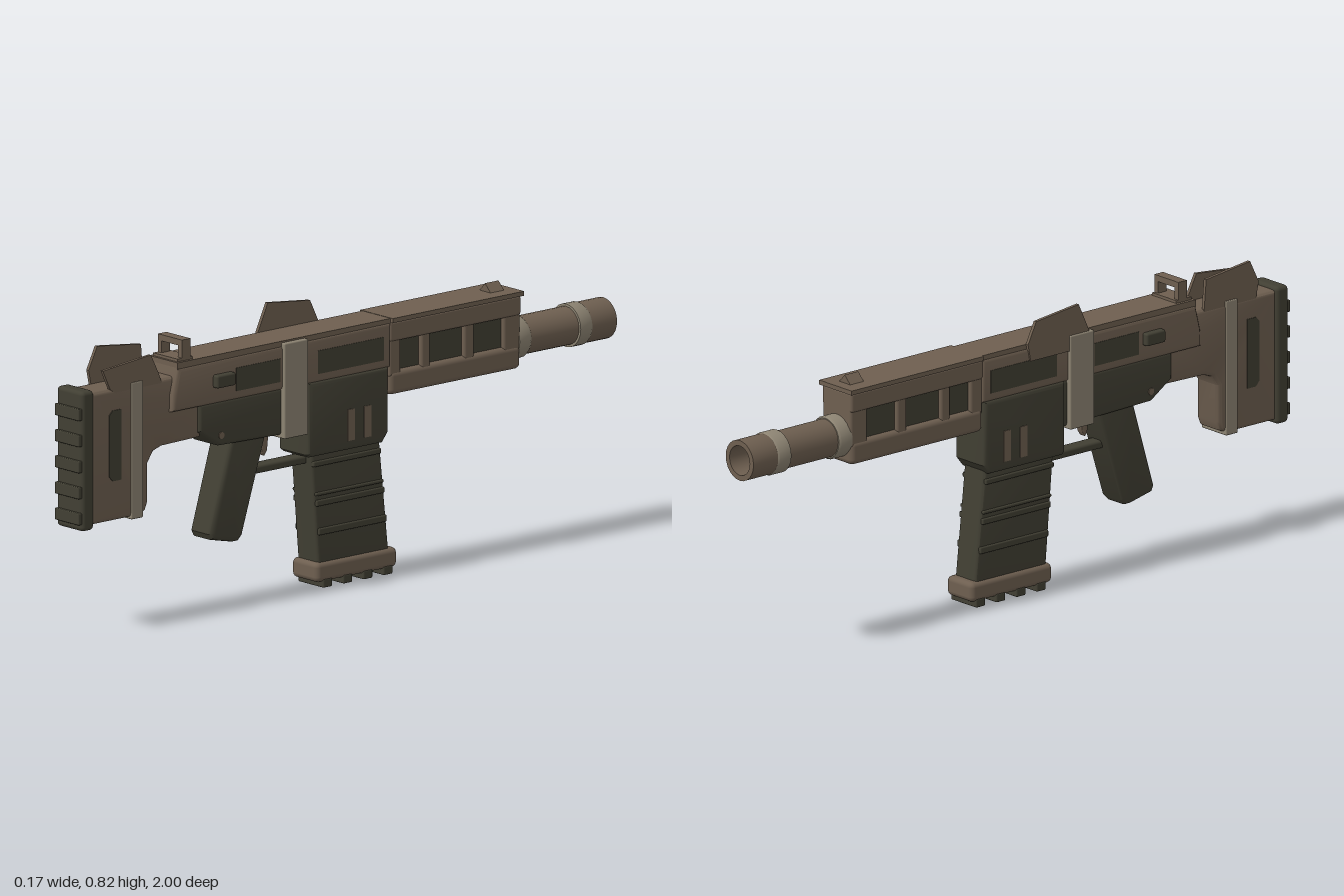
import * as THREE from 'three';
import { toCreasedNormals } from 'three/addons/utils/BufferGeometryUtils.js';
import { RoundedBoxGeometry } from 'three/addons/geometries/RoundedBoxGeometry.js';

const material = (name, color) => new THREE.MeshStandardMaterial({ name, color });

export function createModel() {
  const brown = material('brown', 0x6e5f50);
  const olive = material('olive', 0x413f33);
  const tan = material('tan', 0x8c8372);
  const model = new THREE.Group();
  model.name = 'rifle';

  const add = (name, geometry, mat) => {
    const mesh = new THREE.Mesh(geometry, mat);
    mesh.name = name;
    model.add(mesh);
    return mesh;
  };

  // Side outline of [z, y] points, extruded across x with bevelled edges
  const profile = (name, pts, halfWidth, mat, bevel = 0.01, x = 0) => {
    const shape = new THREE.Shape(pts.map(([z, y]) => new THREE.Vector2(z, y)));
    const depth = 2 * (halfWidth - bevel);
    const g = new THREE.ExtrudeGeometry(shape, {
      depth, bevelEnabled: bevel > 0, bevelThickness: bevel, bevelSize: bevel,
      bevelOffset: -bevel, bevelSegments: 3,
    });
    g.translate(0, 0, -depth / 2).rotateY(-Math.PI / 2).translate(x, 0, 0);
    return add(name, toCreasedNormals(g, 0.6), mat);
  };

  // Box given by its x centre, half width and its z and y ranges
  const box = (name, x, hw, z0, z1, y0, y1, mat, radius = 0) => {
    const size = [2 * hw, y1 - y0, z1 - z0];
    const g = radius ? new RoundedBoxGeometry(...size, 2, radius) : new THREE.BoxGeometry(...size);
    g.translate(x, (y0 + y1) / 2, (z0 + z1) / 2);
    return add(name, g, mat);
  };

  // Thin plate or stud repeated on both sides
  const sides = (name, x, hw, ...rest) => {
    for (const s of [-1, 1]) box((s > 0 ? 'left' : 'right') + name, s * x, hw, ...rest);
  };

  // Upper receiver and top rail
  profile('upperReceiver', [[0.66, 0.6], [0.658, 0.65], [0.64, 0.725], [-0.155, 0.73], [-0.155, 0.6]], 0.064, brown, 0.012);
  box('receiverRail', 0, 0.06, -0.16, 0.64, 0.72, 0.74, brown);
  box('handguardRail', 0, 0.069, -0.645, -0.155, 0.728, 0.741, brown);
  sides('RearPanel', 0.0625, 0.003, 0.26, 0.425, 0.625, 0.692, olive);
  sides('FrontPanel', 0.0625, 0.003, -0.125, 0.12, 0.625, 0.692, olive);
  sides('Selector', 0.068, 0.015, 0.44, 0.51, 0.648, 0.685, olive, 0.006);

  // Lower receiver and magazine well
  profile('lowerReceiver', [[0.555, 0.605], [0.555, 0.525], [0.48, 0.475], [0.1, 0.465], [-0.1, 0.465], [-0.1, 0.605]], 0.058, olive);
  profile('magazineWell', [[0.155, 0.605], [0.155, 0.395], [0.145, 0.387], [-0.125, 0.387], [-0.147, 0.415], [-0.147, 0.605]], 0.065, olive, 0.014);
  for (const z of [-0.003, -0.065]) sides('WellSlot', 0.064, 0.003, z - 0.013, z + 0.013, 0.415, 0.505, brown);
  const pin = new THREE.CylinderGeometry(0.01, 0.01, 0.122, 12).rotateZ(Math.PI / 2).translate(0, 0.505, 0.475);
  add('receiverPin', pin, brown);
  box('receiverBand', 0, 0.074, 0.163, 0.252, 0.46, 0.735, tan, 0.004);

  // Grip, trigger and guard
  profile('grip', [[0.42, 0.5], [0.285, 0.5], [0.38, 0.2], [0.395, 0.185], [0.415, 0.185], [0.495, 0.203], [0.503, 0.22]], 0.045, olive, 0.014);
  profile('trigger', [[0.29, 0.48], [0.255, 0.48], [0.262, 0.42], [0.272, 0.405], [0.28, 0.415]], 0.012, brown, 0.003);
  box('triggerGuard', 0, 0.022, 0.12, 0.335, 0.36, 0.384, olive, 0.008);

  // Magazine, its ribs, base and feet
  profile('magazine', [[0.13, 0.42], [-0.127, 0.42], [-0.165, 0.06], [0.1, 0.06]], 0.045, olive, 0.01);
  for (const [y, h] of [[0.362, 0.016], [0.274, 0.01], [0.248, 0.018], [0.165, 0.02]]) {
    const shift = (0.39 - y) * 0.103;
    box('magazineRib', 0, 0.051, -0.127 - shift, 0.126 - shift, y - h / 2, y + h / 2, olive, 0.004);
  }
  box('magazineBase', 0, 0.055, -0.187, 0.115, 0.02, 0.077, brown, 0.015);
  for (const z of [0.073, -0.002, -0.077, -0.152]) box('baseFoot', 0, 0.054, z - 0.017, z + 0.017, 0.003, 0.028, olive, 0.004);

  // Handguard with windows over a dark core
  box('handguardCore', 0, 0.048, -0.61, -0.15, 0.56, 0.7, olive);
  box('handguardTop', 0, 0.063, -0.64, -0.15, 0.672, 0.73, brown, 0.008);
  box('handguardBottom', 0, 0.063, -0.64, -0.15, 0.518, 0.587, brown, 0.016);
  for (const [z0, z1] of [[-0.195, -0.15], [-0.305, -0.27], [-0.468, -0.43], [-0.64, -0.577]])
    box('handguardPost', 0, 0.06, z0, z1, 0.57, 0.69, brown, 0.008);

  // Hollow barrel and collars along -z
  const turned = (name, pts, mat) => {
    const g = new THREE.LatheGeometry(pts.map((p) => new THREE.Vector2(...p)), 24);
    g.rotateX(-Math.PI / 2).translate(0, 0.595, 0);
    add(name, toCreasedNormals(g, 0.6), mat);
  };
  turned('barrel', [[0.055, 0.58], [0.055, 0.87], [0.059, 0.9], [0.059, 1], [0.043, 1], [0.04, 0.85], [0, 0.85]], brown);
  for (const [a, b] of [[0.635, 0.682], [0.862, 0.91]])
    turned('barrelCollar', [[0.05, a], [0.062, a], [0.062, b - 0.006], [0.058, b], [0.05, b]], tan);

  // Sights
  for (const x of [-0.043, 0.043]) box('rearSightPost', x, 0.008, 0.583, 0.615, 0.735, 0.8, brown);
  box('rearSightBar', 0, 0.051, 0.583, 0.615, 0.782, 0.8, brown);
  box('rearSightBase', 0, 0.051, 0.575, 0.632, 0.735, 0.748, brown);
  const tri = new THREE.Shape([[-0.026, 0], [0.026, 0], [0, 0.027]].map((p) => new THREE.Vector2(...p)));
  const bead = new THREE.ExtrudeGeometry(tri, { depth: 0.05, bevelEnabled: false });
  add('frontSight', bead.translate(0, 0.738, -0.61), brown);

  // Stock with strap and side slots
  profile('stock', [[0.95, 0.7], [0.6, 0.7], [0.54, 0.62], [0.54, 0.508], [0.685, 0.505], [0.715, 0.495],
    [0.735, 0.465], [0.735, 0.355], [0.745, 0.33], [0.77, 0.32], [0.95, 0.32]], 0.048, brown, 0.012);
  box('stockStrap', 0, 0.052, 0.76, 0.803, 0.314, 0.707, tan, 0.003);
  for (const x of [-0.047, 0.047])
    profile('stockSlot', [[0.885, 0.625], [0.872, 0.638], [0.84, 0.638], [0.84, 0.435], [0.872, 0.435], [0.885, 0.45]], 0.003, olive, 0, x);

  // Ribbed butt pad
  box('buttPad', 0, 0.056, 0.945, 0.99, 0.308, 0.71, olive, 0.012);
  for (let i = 0; i < 5; i++) {
    const y = 0.345 + i * 0.075;
    box('padRib', 0, 0.051, 0.975, 1, y - 0.017, y + 0.017, olive, 0.003);
  }

  // Upright side fins
  profile('receiverFin', [[0.24, 0.69], [0.235, 0.74], [0.198, 0.82], [0.04, 0.802], [0.01, 0.74], [0.02, 0.69]], 0.005, brown, 0, -0.064);
  profile('rightStockFin', [[0.87, 0.67], [0.885, 0.74], [0.853, 0.805], [0.69, 0.785], [0.68, 0.67]], 0.005, brown, 0, -0.042);
  profile('leftStockFin', [[0.88, 0.7], [0.907, 0.757], [0.728, 0.775], [0.7, 0.72], [0.68, 0.67], [0.84, 0.67]], 0.005, brown, 0, 0.043);

  return model;
}
